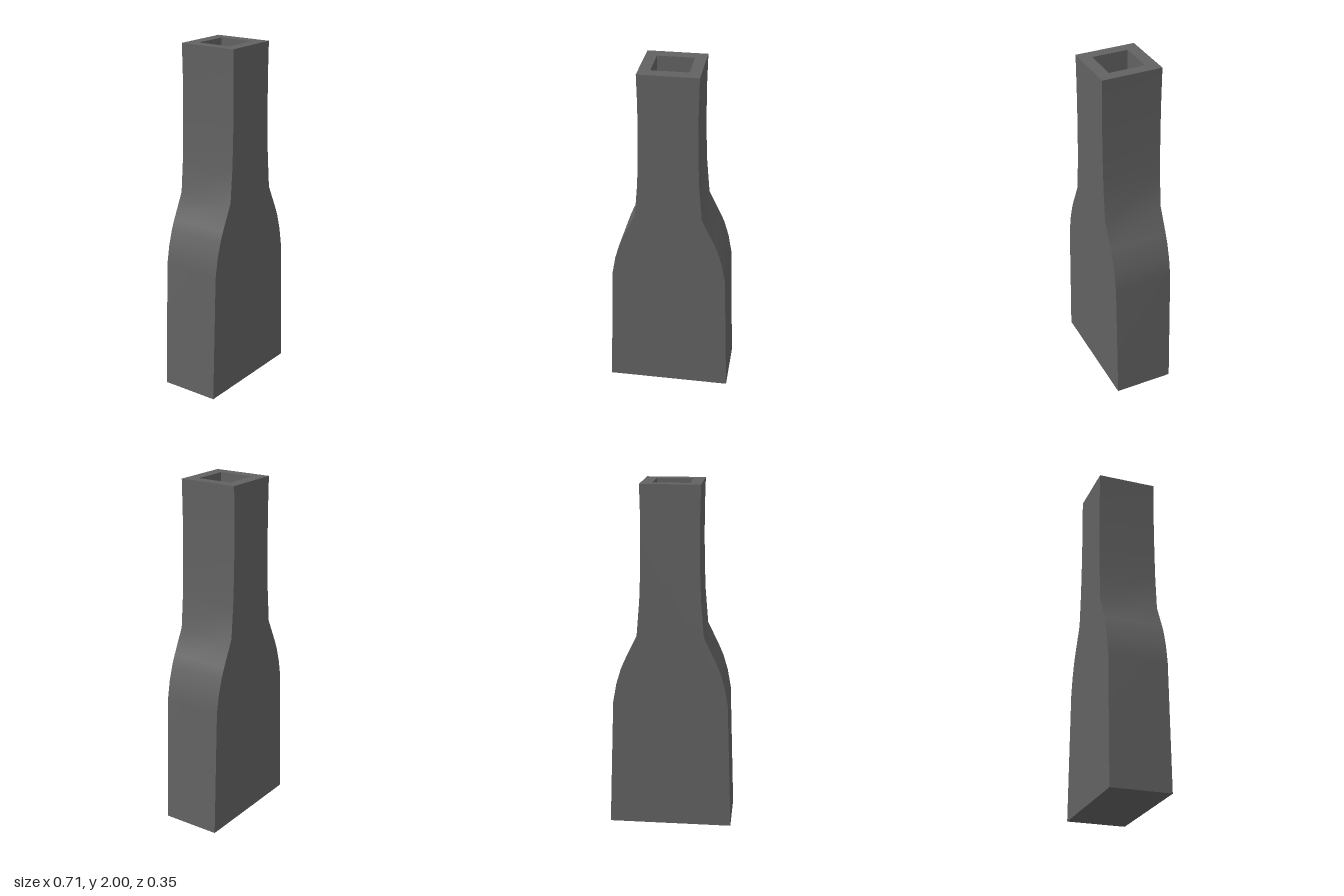
import * as THREE from 'three';

export function createModel() {
  const group = new THREE.Group();
  const darkGrey = new THREE.MeshStandardMaterial({ color: 0x626262 });
  const halfDepth = 0.173, hole = 0.104, holeDepth = 0.6;

  // Half-width of the body at each height, from top to base
  const profile = [
    [0.168, 2], [0.164, 1.83], [0.164, 1.67], [0.167, 1.5], [0.173, 1.35], [0.19, 1.15],
    [0.262, 1.0], [0.283, 0.95], [0.31, 0.86], [0.33, 0.75], [0.357, 0],
  ];

  const add = (name, geometry) => {
    const mesh = new THREE.Mesh(geometry, darkGrey);
    mesh.name = name;
    group.add(mesh);
    return mesh;
  };
  const rectangle = (w, d) => [[-w, -d], [w, -d], [w, d], [-w, d]].map(([x, y]) => new THREE.Vector2(x, y));

  // Flat front and back panels
  const outline = new THREE.Shape([
    ...profile.map(([x, y]) => new THREE.Vector2(-x, y)),
    ...profile.slice().reverse().map(([x, y]) => new THREE.Vector2(x, y)),
  ]);
  const panel = new THREE.ShapeGeometry(outline).translate(0, 0, halfDepth);
  add('frontPanel', panel);
  add('backPanel', panel).rotation.y = Math.PI;

  // Smoothly curved side walls
  const side = new THREE.PlaneGeometry(2 * halfDepth, 1, 1, profile.length - 1).rotateY(Math.PI / 2);
  const position = side.attributes.position;
  for (let i = 0; i < position.count; i++) {
    const [x, y] = profile[Math.floor(i / 2)];
    position.setX(i, x);
    position.setY(i, y);
  }
  side.computeVertexNormals();
  add('leftSide', side);
  add('rightSide', side).rotation.y = Math.PI;

  // Base and top rim with its square opening
  const base = new THREE.PlaneGeometry(2 * profile.at(-1)[0], 2 * halfDepth).rotateX(Math.PI / 2);
  add('base', base);
  const rim = new THREE.Shape(rectangle(profile[0][0], halfDepth));
  rim.holes.push(new THREE.Path(rectangle(hole, hole).reverse()));
  add('topRim', new THREE.ShapeGeometry(rim).rotateX(-Math.PI / 2).translate(0, 2, 0));

  // Square socket: four inward-facing walls and a floor
  const wall = new THREE.PlaneGeometry(2 * hole, holeDepth).translate(0, 2 - holeDepth / 2, -hole);
  for (let i = 0; i < 4; i++) add('socketWall', wall).rotation.y = i * Math.PI / 2;
  add('socketFloor', new THREE.PlaneGeometry(2 * hole, 2 * hole).rotateX(-Math.PI / 2).translate(0, 2 - holeDepth, 0));

  return group;
}
